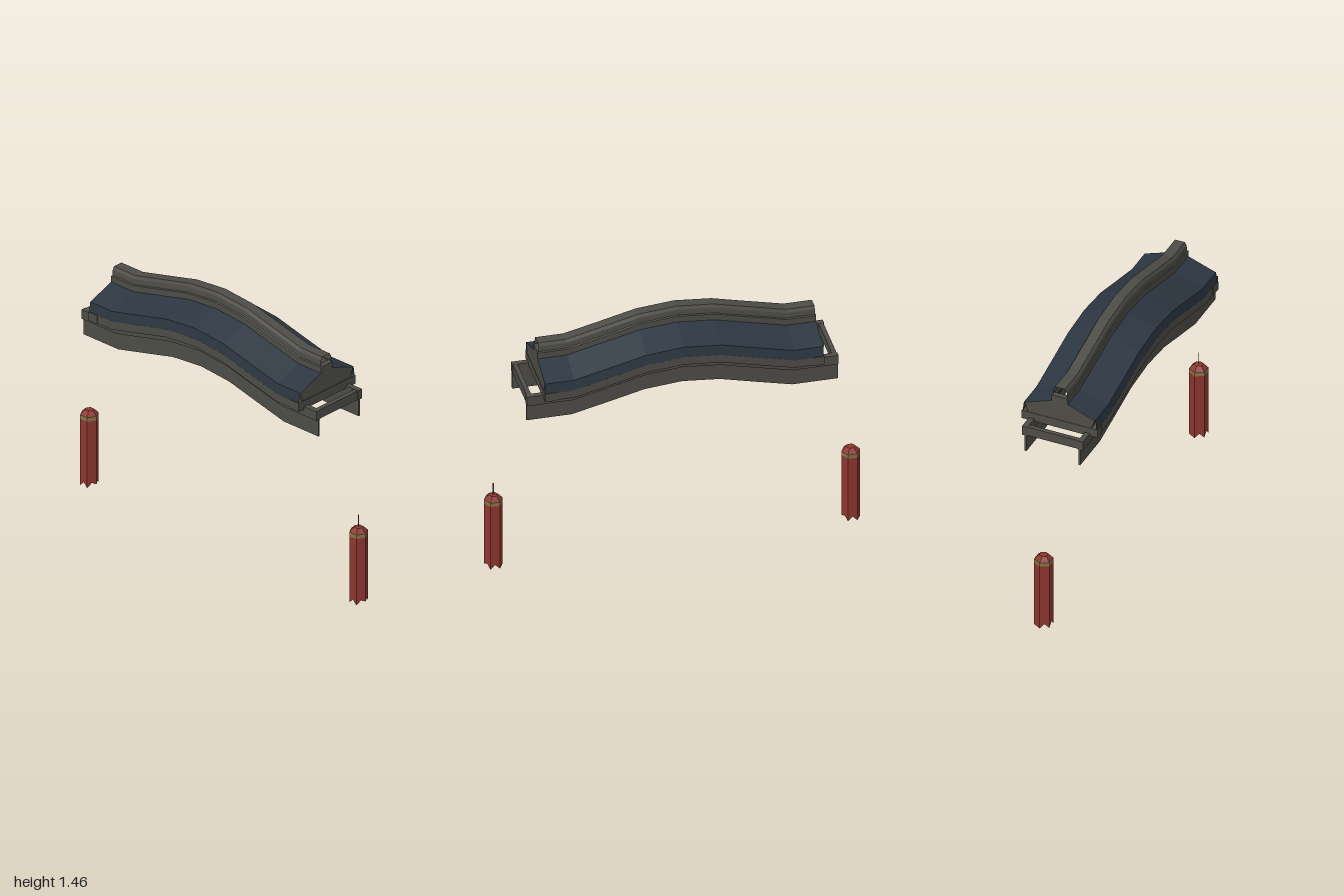
import * as THREE from 'three';

const mat = (name, color, side = THREE.FrontSide) => {
  const m = new THREE.MeshStandardMaterial({ color, side });
  m.name = name;
  return m;
};

export function createModel() {
  const wood = mat('weathered grey', 0x4d4c46, THREE.DoubleSide);
  const tile = mat('slate blue', 0x2c3641, THREE.DoubleSide);
  const red = mat('lantern red', 0x8c352f, THREE.DoubleSide);
  const gold = mat('dull gold', 0x857545);

  const root = new THREE.Group();
  root.name = 'archedRoofWithLanterns';
  const add = (parent, name, geo, material) => {
    const mesh = new THREE.Mesh(geo, material);
    mesh.name = name;
    parent.add(mesh);
    return mesh;
  };

  // Faceted arch shared by every long member: [z, rise]
  const arch = (end) => [
    [-end, 0], [-0.585, 0], [-0.39, 0.047], [-0.2, 0.094], [0, 0.112],
    [0.2, 0.094], [0.39, 0.047], [0.585, 0], [end, 0],
  ];
  const flat = (geo) => {
    const g = geo.index ? geo.toNonIndexed() : geo;
    g.computeVertexNormals();
    return g;
  };

  // Open sheet: profile points [x, y] swept along the arch
  const sheet = (profile, end) => {
    const st = arch(end), n = profile.length;
    const geo = new THREE.PlaneGeometry(1, 1, n - 1, st.length - 1);
    const p = geo.attributes.position;
    for (let i = 0; i < p.count; i++) {
      const [x, y] = profile[i % n], [z, rise] = st[Math.floor(i / n)];
      p.setXYZ(i, x, y + rise, z);
    }
    return flat(geo);
  };

  // Solid rectangular beam swept along the arch
  const beam = (x0, x1, y0, y1, end) => {
    const st = arch(end);
    const geo = new THREE.BoxGeometry(x1 - x0, y1 - y0, 8, 1, 1, 8);
    geo.translate((x0 + x1) / 2, (y0 + y1) / 2, 4);
    const p = geo.attributes.position;
    for (let i = 0; i < p.count; i++) {
      const [z, rise] = st[Math.round(p.getZ(i))];
      p.setY(i, p.getY(i) + rise);
      p.setZ(i, z);
    }
    return flat(geo);
  };

  // Roof
  const roof = new THREE.Group();
  roof.name = 'roof';
  roof.position.z = -0.015;
  root.add(roof);
  add(roof, 'ridgeCap', sheet([
    [-0.045, 1.25], [-0.045, 1.3], [-0.04, 1.305], [-0.038, 1.335], [-0.028, 1.352],
    [0.028, 1.352], [0.038, 1.335], [0.04, 1.305], [0.045, 1.3], [0.045, 1.25],
  ], 0.735), wood);

  for (const s of [-1, 1]) {
    const side = s > 0 ? 'left' : 'right';
    const slope = [[0.04 * s, 1.267], [0.203 * s, 1.21], [0.211 * s, 1.152]];
    if (s < 0) slope.reverse();
    add(roof, side + 'RoofSlope', sheet(slope, 0.74), tile);
    const b = (name, x0, x1, y0, y1, end) =>
      add(roof, side + name, s > 0 ? beam(x0, x1, y0, y1, end) : beam(-x1, -x0, y0, y1, end), wood);
    b('EaveBeam', 0.17, 0.211, 1.108, 1.154, 0.74);
    b('FrameBeam', 0.143, 0.173, 1.068, 1.122, 0.828);
    b('SkirtBoard', 0.148, 0.158, 0.972, 1.068, 0.828);
  }

  // Gable ends with their sill and the cross bar of the frame
  const gable = new THREE.Shape([
    [-0.18, 1.155], [0.18, 1.155], [0.2, 1.208], [0.045, 1.265],
    [0.045, 1.3], [-0.045, 1.3], [-0.045, 1.265], [-0.2, 1.208],
  ].map(([x, y]) => new THREE.Vector2(x, y)));
  for (const s of [-1, 1]) {
    const end = s > 0 ? 'front' : 'back';
    const g = new THREE.ExtrudeGeometry(gable, { depth: 0.03, bevelEnabled: false });
    g.translate(0, 0, s * 0.725 - 0.015);
    add(roof, end + 'Gable', g, wood);
    add(roof, end + 'GableSill', new THREE.BoxGeometry(0.43, 0.049, 0.06), wood)
      .position.set(0, 1.131, s * 0.712);
    add(roof, end + 'CrossBar', new THREE.BoxGeometry(0.3, 0.052, 0.025), wood)
      .position.set(0, 1.095, s * 0.812);
  }

  // Hexagonal lantern with a zigzag lower hem
  const R = 0.05;
  const hex = (r0, r1, h, open) => flat(new THREE.CylinderGeometry(r1, r0, h, 6, 1, open));
  const hem = () => {
    const geo = new THREE.PlaneGeometry(1, 1, 12, 1);
    const p = geo.attributes.position;
    for (let i = 0; i < p.count; i++) {
      const k = i % 13, a = (Math.floor(k / 2) * Math.PI) / 3, b = a + Math.PI / 3;
      const t = (k % 2) / 2;
      const x = R * (Math.sin(a) * (1 - t) + Math.sin(b) * t);
      const z = R * (Math.cos(a) * (1 - t) + Math.cos(b) * t);
      // one face keeps a straight hem
      const low = k % 2 && k !== 5 ? 0.026 : k % 12 === 0 ? 0.015 : 0;
      p.setXYZ(i, x, i < 13 ? 0.036 : low, z);
    }
    return flat(geo);
  };
  for (const s of [-1, 1]) {
    const lantern = new THREE.Group();
    lantern.name = s > 0 ? 'frontLantern' : 'backLantern';
    lantern.position.z = s * 0.95;
    root.add(lantern);
    add(lantern, 'lanternHem', hem(), red);
    add(lantern, 'lanternBody', hex(R, R, 0.351, true), red).position.y = 0.2115;
    add(lantern, 'lanternBand', hex(R, R, 0.023, true), gold).position.y = 0.3985;
    add(lantern, 'lanternCap', hex(R, 0.024, 0.025, false), red).position.y = 0.4225;
    // Flat hanging cord on the front lantern
    if (s > 0) {
      const cord = add(lantern, 'lanternCord', new THREE.PlaneGeometry(0.009, 0.07), wood);
      cord.rotation.y = Math.PI / 2;
      cord.position.y = 0.47;
    }
  }

  root.position.x = -0.003;
  return root;
}
